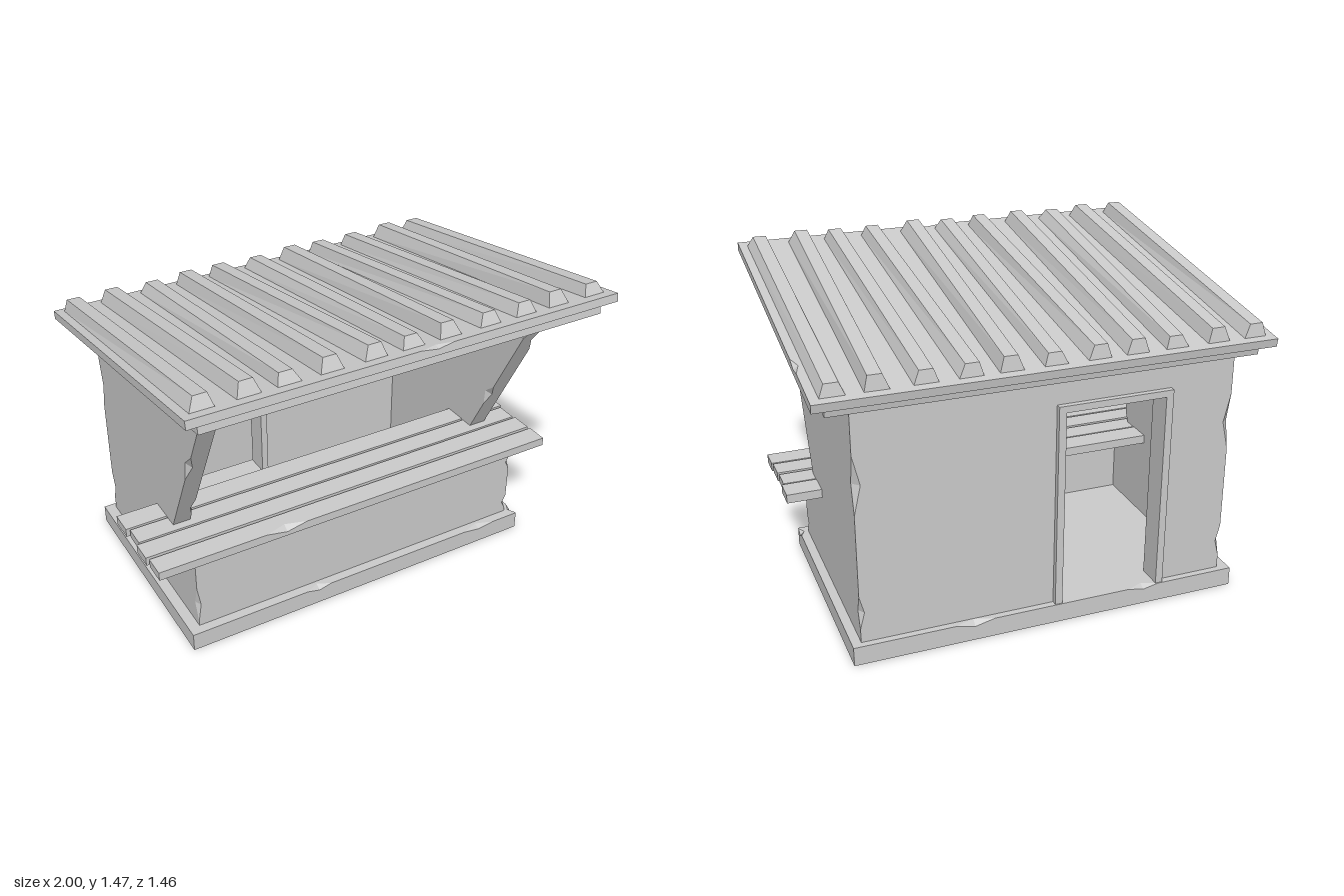
import * as THREE from 'three';

const mat = new THREE.MeshStandardMaterial({ color: 0xcccccc, flatShading: true });
const V = (x, y, z) => new THREE.Vector3(x, y, z);

// Adds one triangle, wound so that it faces along n
function tri(out, a, b, c, n) {
  const m = b.clone().sub(a).cross(c.clone().sub(a));
  const order = m.dot(n) < 0 ? [a, c, b] : [a, b, c];
  for (const p of order) out.push(p.x, p.y, p.z);
}

// Adds a flat polygon (with an optional hole) facing along n
function face(out, pts, n, hole) {
  const e1 = (Math.abs(n.x) > 0.9 ? V(0, 1, 0) : V(1, 0, 0));
  const e2 = n.clone().cross(e1);
  const flat = (p) => new THREE.Vector2(p.dot(e1), p.dot(e2));
  const ring = pts.filter((p, i) => p.distanceTo(pts[(i + 1) % pts.length]) > 1e-5);
  const all = hole ? ring.concat(hole) : ring;
  const tris = THREE.ShapeUtils.triangulateShape(ring.map(flat), hole ? [hole.map(flat)] : []);
  for (const [a, b, c] of tris) tri(out, all[a], all[b], all[c], n);
}

// Chips an edge a-b; u and v point inward along its two faces.
// Each chip is [position, half length, depth along u, depth along v].
function chipEdge(out, a, b, u, v, chips = []) {
  const us = [a], vs = [a], n = u.clone().add(v).negate();
  for (const [t, h, du, dv] of chips) {
    const s = a.clone().lerp(b, t - h), e = a.clone().lerp(b, t + h), c = a.clone().lerp(b, t);
    const p = c.clone().addScaledVector(u, du), q = c.clone().addScaledVector(v, dv);
    tri(out, s, p, q, n);
    tri(out, e, p, q, n);
    us.push(s, p, e);
    vs.push(s, q, e);
  }
  us.push(b);
  vs.push(b);
  return [us, vs];
}

function toMesh(out, name) {
  const g = new THREE.BufferGeometry();
  g.setAttribute('position', new THREE.Float32BufferAttribute(out, 3));
  g.computeVertexNormals();
  const m = new THREE.Mesh(g, mat);
  m.name = name;
  return m;
}

// Box whose top edges (front, right, back, left) can be chipped
function slab(name, x0, x1, y0, y1, z0, z1, chips = []) {
  const out = [], top = [];
  const at = (y) => [V(x0, y, z1), V(x1, y, z1), V(x1, y, z0), V(x0, y, z0)];
  const hi = at(y1), lo = at(y0);
  [V(0, 0, 1), V(1, 0, 0), V(0, 0, -1), V(-1, 0, 0)].forEach((n, i) => {
    const j = (i + 1) % 4;
    const [us, vs] = chipEdge(out, hi[i], hi[j], n.clone().negate(), V(0, -1, 0), chips[i]);
    top.push(...us);
    face(out, [...vs, lo[j], lo[i]], n);
  });
  face(out, top, V(0, 1, 0));
  face(out, lo, V(0, -1, 0));
  return toMesh(out, name);
}

// Wall dimensions
const FRONT = 0.335, BACK = -0.65, IN_FRONT = 0.25, IN_BACK = -0.57;
const FLOOR = 0.05, LEDGE = 0.465, EAVE = 1.31;
const slantZ = (y) => 0.118 + 0.507 * (y - 0.488);
const DOOR = [-0.51, -0.01, 1.0];

function walls() {
  const out = [];
  const slantN = V(0, -0.507, 1).normalize(), slantIn = slantN.clone().negate();
  const sides = [
    { s: -1, xo: -0.81, xi: -0.73, front: [[0.36, 0.22, 0.03, 0.015]],
      slant: [[0.54, 0.09, 0.03, 0.02]], inner: [[0.17, 0.08, 0.03, 0.015]],
      back: [[0.16, 0.07, 0.025, 0.02], [0.7, 0.12, 0.025, 0.03]] },
    { s: 1, xo: 0.845, xi: 0.76, front: [[0.22, 0.09, 0.025, 0.02], [0.8, 0.1, 0.02, 0.02]],
      slant: [[0.75, 0.08, 0.07, 0.025]], inner: [[0.35, 0.08, 0.03, 0.02], [0.92, 0.05, 0.02, 0.02]],
      back: [[0.16, 0.07, 0.03, 0.02], [0.69, 0.12, 0.03, 0.03]] },
  ];
  const edges = sides.map(({ s, xo, xi, front, slant, inner, back }) => {
    const inX = V(-s, 0, 0), outX = V(s, 0, 0);
    const f = chipEdge(out, V(xo, FLOOR, FRONT), V(xo, LEDGE, FRONT), V(0, 0, -1), inX, front);
    const t = chipEdge(out, V(xo, LEDGE, slantZ(LEDGE)), V(xo, EAVE, slantZ(EAVE)), slantIn, inX, slant);
    const i = chipEdge(out, V(xi, LEDGE, slantZ(LEDGE)), V(xi, 1.225, slantZ(1.225)), slantIn, outX, inner);
    const b = chipEdge(out, V(xo, FLOOR, BACK), V(xo, 1.13, BACK), V(0, 0, 1), inX, back);
    // outer and inner side faces
    face(out, [...f[0], ...t[0], ...b[0].slice().reverse()], outX);
    face(out, [V(xi, FLOOR, IN_FRONT), V(xi, LEDGE, IN_FRONT), ...i[0],
      V(xi, 1.02, IN_BACK), V(xi, FLOOR, IN_BACK)], inX);
    // ledge under the counter
    face(out, [V(xo, LEDGE, IN_FRONT), V(xi, LEDGE, IN_FRONT),
      V(xi, LEDGE, slantZ(LEDGE)), V(xo, LEDGE, slantZ(LEDGE))], V(0, 1, 0));
    return { f: f[1], t: t[1], i: i[1], b: b[1] };
  });
  const [L, R] = edges, rev = (a) => a.slice().reverse();
  const xl = -0.81, xr = 0.845, il = -0.73, ir = 0.76;
  const door = (z) => [V(DOOR[0], 0.08, z), V(DOOR[1], 0.08, z), V(DOOR[1], DOOR[2], z), V(DOOR[0], DOOR[2], z)];
  // front, back and the sloping front frame
  face(out, [...L.f, ...rev(R.f)], V(0, 0, 1));
  face(out, [...L.b, ...rev(R.b)], V(0, 0, -1), door(BACK));
  face(out, [...L.t, ...rev(R.t), ...R.i, ...rev(L.i)], slantN);
  // inside of the front and back walls, ceiling and front ledge
  face(out, [V(il, FLOOR, IN_FRONT), V(ir, FLOOR, IN_FRONT), V(ir, LEDGE, IN_FRONT), V(il, LEDGE, IN_FRONT)], V(0, 0, -1));
  face(out, [V(il, FLOOR, IN_BACK), V(ir, FLOOR, IN_BACK), V(ir, 1.02, IN_BACK), V(il, 1.02, IN_BACK)], V(0, 0, 1), door(IN_BACK));
  const cz = slantZ(1.225), cn = V(0, -(cz - IN_BACK), 0.205).normalize();
  face(out, [V(il, 1.225, cz), V(ir, 1.225, cz), V(ir, 1.02, IN_BACK), V(il, 1.02, IN_BACK)], cn);
  face(out, [V(xl, LEDGE, FRONT), V(xr, LEDGE, FRONT), V(xr, LEDGE, IN_FRONT), V(xl, LEDGE, IN_FRONT)], V(0, 1, 0));
  return toMesh(out, 'walls');
}

// Roof batten: a box narrowed towards its top
function batten(x, i) {
  const w = 0.1, h = 0.055 + 0.006 * Math.sin(i * 2.3), len = 1.385;
  const g = new THREE.BoxGeometry(w, h, len), p = g.attributes.position;
  for (let k = 0; k < p.count; k++) {
    if (p.getY(k) < 0) continue;
    p.setX(k, p.getX(k) * 0.58 + 0.006 * Math.sin(i * 1.7 + p.getZ(k) * 2));
    p.setZ(k, p.getZ(k) * 0.975);
  }
  const m = new THREE.Mesh(g, mat);
  m.name = 'roofBatten';
  m.position.set(x, 0.037 + h / 2, -0.005);
  m.rotation.y = 0.012 * Math.sin(i * 1.9);
  return m;
}

export function createModel() {
  const model = new THREE.Group();
  model.name = 'kiosk';

  model.add(slab('base', -0.86, 0.885, 0, 0.085, -0.68, 0.38, [
    [[0.36, 0.035, 0.03, 0.015], [0.87, 0.05, 0.03, 0.012]],
    [[0.04, 0.035, 0.02, 0.02]], [[0.3, 0.05, 0.03, 0.02], [0.75, 0.04, 0.03, 0.015]], []]));
  model.add(walls());

  // Counter of four planks
  const planks = [[-0.055, 0.052, -1, 1], [0.062, 0.16, -0.985, 0.99], [0.173, 0.272, -1, 0.995], [0.285, 0.385, -0.99, 1]];
  planks.forEach(([z0, z1, x0, x1], i) => {
    const dy = i % 2 ? 0 : 0.002;
    const chips = i === 3 ? [[[0.3, 0.05, 0.03, 0.02]]] : [];
    model.add(slab('counterPlank', x0, x1, 0.454 + dy, 0.494 + dy, z0, z1, chips));
  });

  // Door frame
  const frame = new THREE.Group();
  frame.name = 'doorFrame';
  frame.add(slab('doorJamb', -0.518, -0.485, 0.08, 1.005, -0.675, -0.56));
  frame.add(slab('doorJamb', -0.036, -0.003, 0.08, 1.005, -0.675, -0.56));
  frame.add(slab('doorLintel', -0.485, -0.036, 0.975, 1.005, -0.675, -0.56));
  model.add(frame);

  // Sloping roof: two stacked plates and a row of battens
  const roof = new THREE.Group();
  roof.name = 'roof';
  roof.position.set(0.0175, 1.265, 0.0065);
  roof.rotation.x = -0.157;
  roof.add(slab('roofPlate', -0.9825, 0.9825, 0, 0.037, -0.735, 0.735, [
    [[0.54, 0.04, 0.02, 0.012]], [[0.8, 0.04, 0.02, 0.015]], [], []]));
  roof.add(slab('roofUnderplate', -0.925, 0.925, -0.05, 0, -0.695, 0.695));
  for (let i = 0; i < 11; i++) roof.add(batten(-0.895 + i * 0.179, i));
  model.add(roof);
  return model;
}
